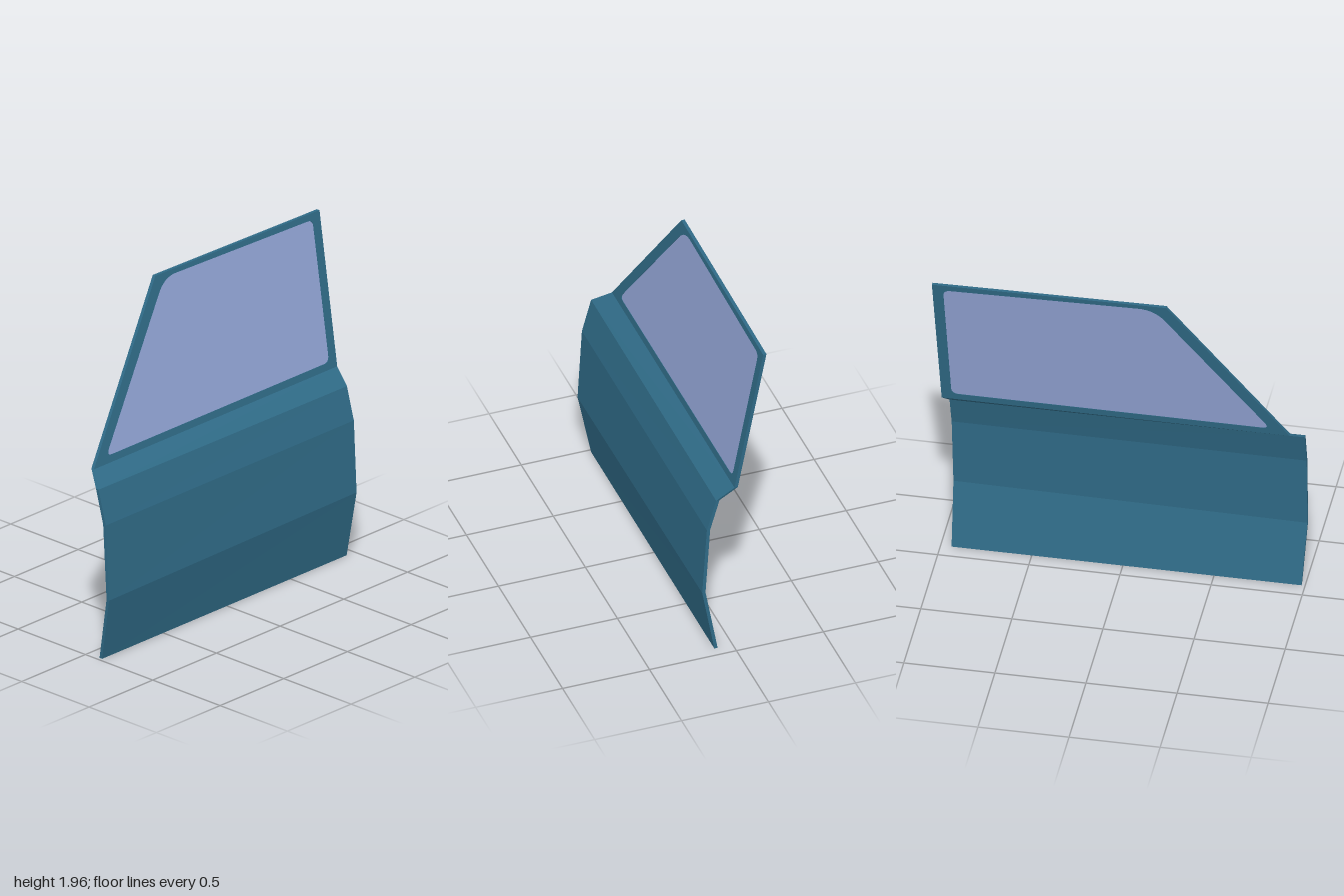
import * as THREE from 'three';

const THICK = 0.019;

// Outer skin from sill to belt line: x, front (z, y), back (z, y)
const LEVELS = [
  [0.105, 0.98, 0, -0.94, 0],
  [0.176, 1.0, 0.37, -0.943, 0.39],
  [0.151, 1.0, 0.805, -0.948, 0.805],
  [0.098, 1.0, 1.0, -0.95, 0.99],
  [0.002, 0.935, 1.07, -0.975, 1.07],
];

// Outer x of the leaning window plane at height y
const leanX = (y) => 0.002 - (0.159 * (y - 1.07)) / 0.885;

// Folded sheet lofted from four-cornered cross-sections
function panelGeometry() {
  const rings = LEVELS.map(([x, zf, yf, zb, yb]) => [
    [x, yf, zf], [x, yb, zb], [x - THICK, yb, zb], [x - THICK, yf, zf],
  ]);
  const pos = [];
  const quad = (a, b, c, d) => pos.push(...a, ...b, ...c, ...a, ...c, ...d);
  for (let i = 0; i < rings.length - 1; i++) {
    for (let j = 0; j < 4; j++) {
      const k = (j + 1) % 4;
      quad(rings[i][j], rings[i][k], rings[i + 1][k], rings[i + 1][j]);
    }
  }
  const [a, b, c, d] = rings[0];
  quad(d, c, b, a);
  const g = new THREE.BufferGeometry();
  g.setAttribute('position', new THREE.Float32BufferAttribute(pos, 3));
  g.computeVertexNormals();
  return g;
}

// Closed outline through (z, y) corners, each rounded by its radius r
function outline(path, corners) {
  const pts = corners.map(([z, y]) => new THREE.Vector2(-z, y));
  const n = pts.length;
  pts.forEach((p, i) => {
    const r = corners[i][2] || 0;
    const toward = (q) => q.clone().sub(p).setLength(r).add(p);
    const start = r ? toward(pts[(i + n - 1) % n]) : p;
    if (i === 0) path.moveTo(start.x, start.y);
    else path.lineTo(start.x, start.y);
    if (r) {
      const end = toward(pts[(i + 1) % n]);
      path.quadraticCurveTo(p.x, p.y, end.x, end.y);
    }
  });
  path.closePath();
  return path;
}

// Extrude a side outline across x and shear it onto the leaning plane
function leaningGeometry(shape, depth, inset) {
  const g = new THREE.ExtrudeGeometry(shape, { depth, bevelEnabled: false, curveSegments: 8 });
  g.rotateY(Math.PI / 2);
  const p = g.attributes.position;
  for (let i = 0; i < p.count; i++) {
    p.setX(i, p.getX(i) + leanX(p.getY(i)) - depth - inset);
  }
  g.computeVertexNormals();
  return g;
}

export function createModel() {
  const group = new THREE.Group();
  group.name = 'vehicleDoor';
  const paint = new THREE.MeshStandardMaterial({ color: 0x2f6a86, flatShading: true });
  const glass = new THREE.MeshStandardMaterial({ color: 0x92a4d5 });

  const add = (name, geometry, material) => {
    const mesh = new THREE.Mesh(geometry, material);
    mesh.name = name;
    group.add(mesh);
  };

  // Window opening with rounded corners
  const opening = [
    [0.83, 1.11, 0.05], [-0.92, 1.11, 0.04], [-0.94, 1.9, 0.04], [0.22, 1.928, 0.09],
  ];
  const frame = outline(new THREE.Shape(), [
    [0.935, 1.07], [-0.975, 1.07], [-1.0, 1.935], [0.285, 1.955],
  ]);
  frame.holes.push(outline(new THREE.Path(), opening));

  add('doorPanel', panelGeometry(), paint);
  add('windowFrame', leaningGeometry(frame, THICK, 0), paint);
  add('windowGlass', leaningGeometry(outline(new THREE.Shape(), opening), THICK - 0.004, 0.002), glass);
  return group;
}
